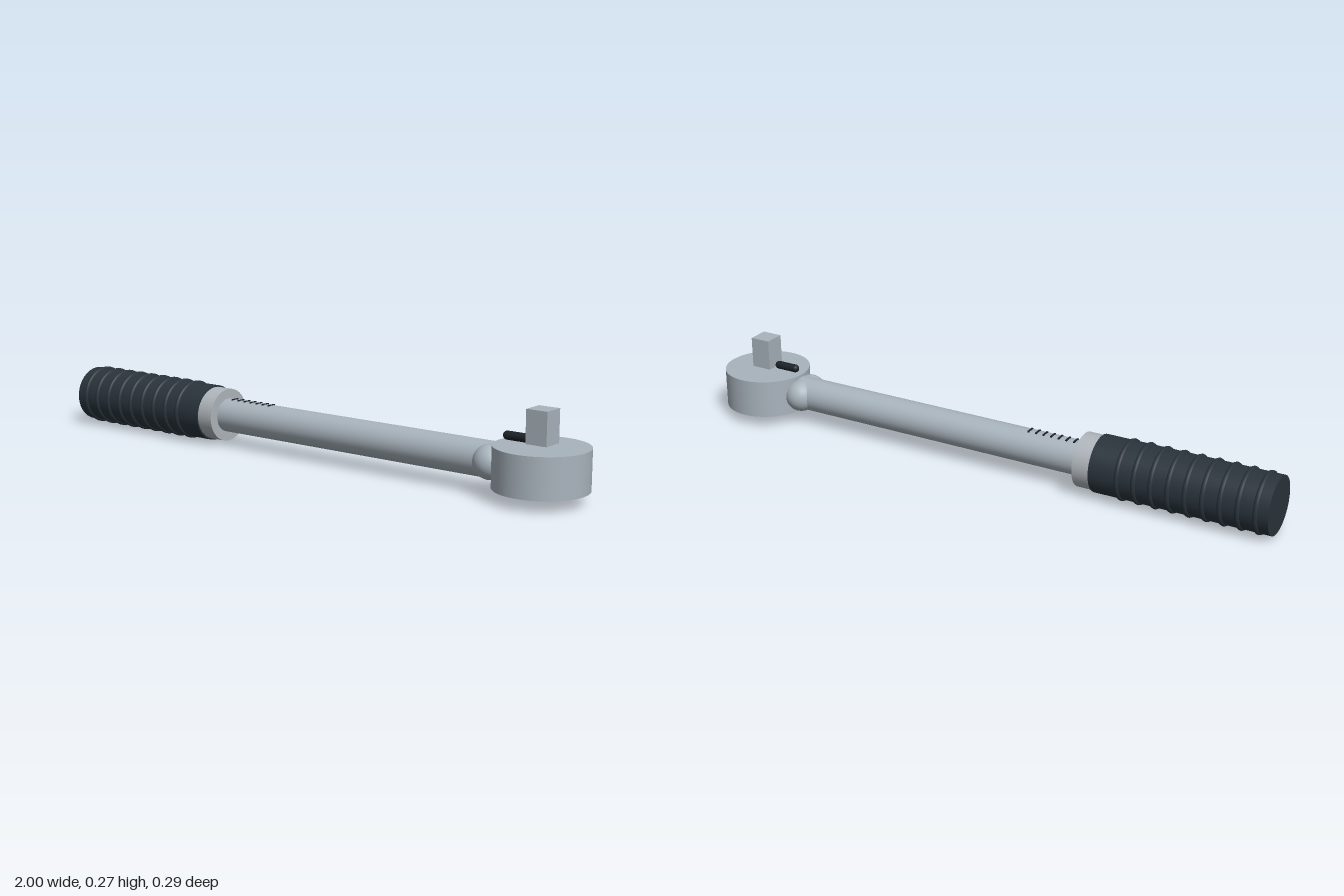
import * as THREE from 'three';

export function createModel() {
  const model = new THREE.Group();
  model.name = 'torqueWrench';
  const mat = (name, color) => {
    const m = new THREE.MeshStandardMaterial({ color });
    m.name = name;
    return m;
  };
  const steel = mat('satin steel', 0xa9b4bd);
  const collarSteel = mat('collar steel', 0xb0b6bc);
  const rubber = mat('grip rubber', 0x2a343c);
  const black = mat('black plastic', 0x1c2227);
  const axisY = 0.1;

  const add = (name, geometry, material, x, y = axisY, z = 0) => {
    const mesh = new THREE.Mesh(geometry, material);
    mesh.name = name;
    mesh.position.set(x, y, z);
    model.add(mesh);
    return mesh;
  };
  // cylinder lying along x between two stations
  const rod = (name, material, x0, x1, radius) =>
    add(name, new THREE.CylinderGeometry(radius, radius, x1 - x0, 48).rotateZ(-Math.PI / 2),
      material, (x0 + x1) / 2);

  // handle, collar and shaft
  rod('grip', rubber, -1, -0.42, 0.093);
  rod('collar', collarSteel, -0.42, -0.362, 0.088);
  rod('shaft', steel, -0.38, 0.72, 0.056);

  // raised grip ridges
  for (let i = 0; i < 9; i++) {
    add('gripRidge', new THREE.TorusGeometry(0.091, 0.008, 10, 48).rotateY(Math.PI / 2),
      rubber, -0.96 + i * 0.0556);
  }

  // scale marks on top of the shaft
  for (let i = 0; i < 7; i++) {
    add('scaleMark', new THREE.BoxGeometry(0.006, 0.006, 0.03), black, -0.332 + i * 0.0267, 0.155);
  }

  // rounded cross neck joining the shaft to the head
  add('neck', new THREE.CapsuleGeometry(0.054, 0.052, 12, 32).rotateX(Math.PI / 2), steel, 0.699);

  // ratchet head
  add('head', new THREE.CylinderGeometry(0.144, 0.144, 0.127, 64), steel, 0.856, 0.1015);

  // square drive with a narrow spindle below it
  add('squareDrive', new THREE.BoxGeometry(0.07, 0.103, 0.07), steel, 0.856, 0.2235);

  // reversing lever
  add('lever', new THREE.CapsuleGeometry(0.0135, 0.066, 8, 20).rotateZ(Math.PI / 2), black, 0.772, 0.181);

  return model;
}
